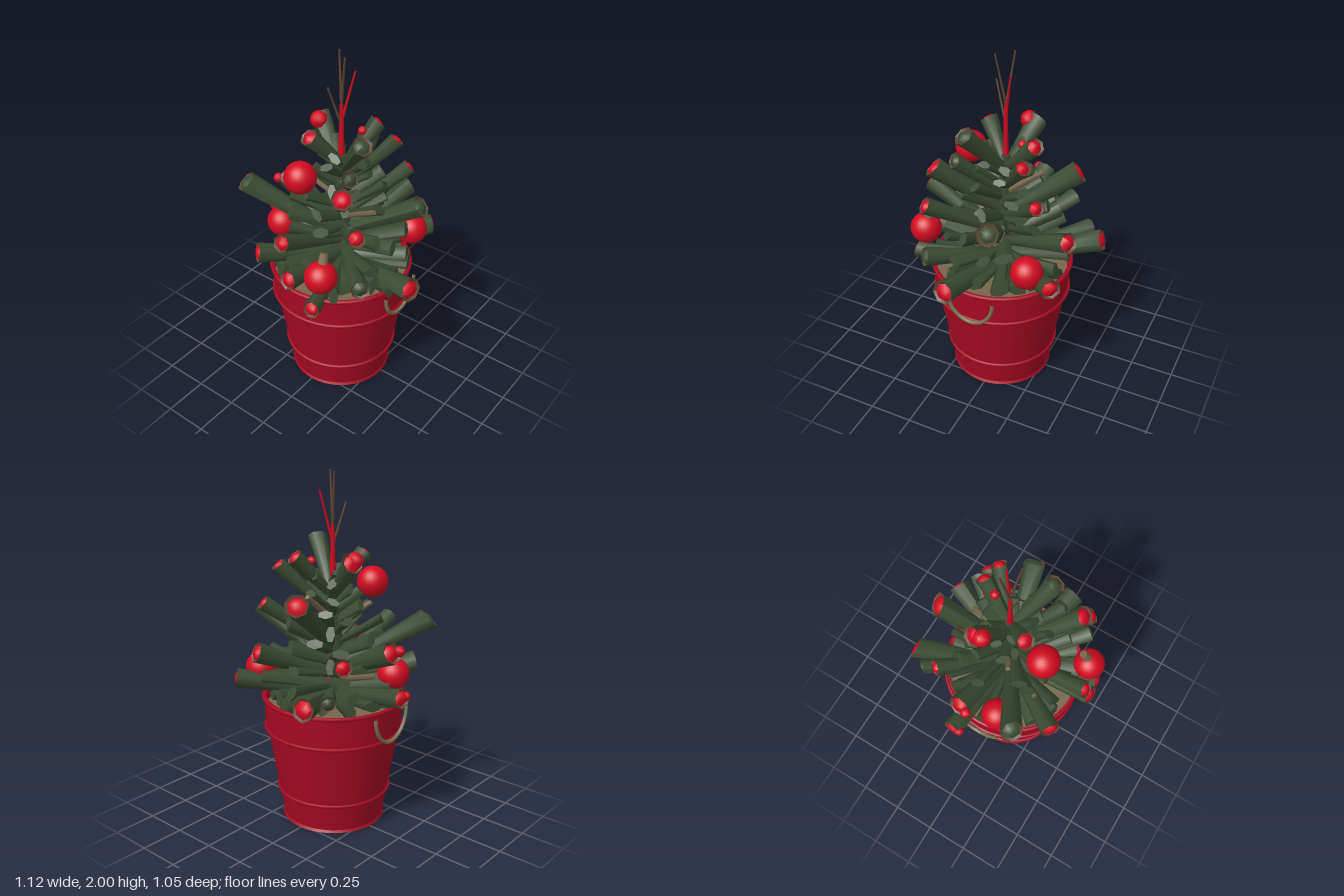
import * as THREE from 'three';

const material = (name, color, side = THREE.FrontSide) => {
  const m = new THREE.MeshStandardMaterial({ color, side });
  m.name = name;
  return m;
};

export function createModel() {
  const bucketRed = material('bucketRed', 0xa80a22, THREE.DoubleSide);
  const berryRed = material('berryRed', 0xd20a20, THREE.DoubleSide);
  const needleGreen = material('needleGreen', 0x3b4c32);
  const barkBrown = material('barkBrown', 0x5e4433, THREE.DoubleSide);
  const burlapTan = material('burlapTan', 0x76664b);
  const ropeOlive = material('ropeOlive', 0x7c7654);

  const root = new THREE.Group();
  root.name = 'pottedTree';
  const v = (x, y, z) => new THREE.Vector3(x, y, z);
  const UP = v(0, 1, 0);

  let seed = 7;
  const rand = () => (seed = (seed * 16807) % 2147483647) / 2147483647;

  const add = (name, geometry, mat, parent = root) => {
    const mesh = new THREE.Mesh(geometry, mat);
    mesh.name = name;
    parent.add(mesh);
    return mesh;
  };
  // Place a unit-up part so that it runs from one point to another
  const along = (object, from, to) => {
    object.position.copy(from).lerp(to, 0.5);
    object.quaternion.setFromUnitVectors(UP, to.clone().sub(from).normalize());
    return object;
  };
  const stick = (name, from, to, r0, r1, mat, parent, sides = 6) =>
    along(add(name, new THREE.CylinderGeometry(r1, r0, from.distanceTo(to), sides), mat, parent), from, to);
  const lathe = (points, sides) =>
    new THREE.LatheGeometry(points.map(p => new THREE.Vector2(...p)), sides);

  // Bucket: tapered wall, two raised hoops and a rolled rim
  const bucket = new THREE.Group();
  bucket.name = 'bucket';
  bucket.position.z = 0.018;
  root.add(bucket);
  const wall = [[0, 0.004], [0.285, 0.004], [0.289, 0], [0.298, 0.006], [0.29, 0.02], [0.382, 0.56],
    [0.388, 0.57], [0.398, 0.75], [0.385, 0.75], [0.375, 0.66]];
  // Separate segments keep the corners crisp
  for (let i = 0; i < wall.length - 1; i++) {
    add('bucketWall', lathe([wall[i], wall[i + 1]], 40), bucketRed, bucket);
  }
  const hoop = (name, y, radius, tube) => {
    const ring = add(name, new THREE.TorusGeometry(radius, tube, 6, 40), bucketRed, bucket);
    ring.rotation.x = Math.PI / 2;
    ring.position.y = y;
  };
  hoop('lowerHoop', 0.185, 0.323, 0.009);
  hoop('upperHoop', 0.563, 0.393, 0.009);
  hoop('rim', 0.743, 0.4, 0.011);

  const filling = add('filling', new THREE.CircleGeometry(0.385, 40), burlapTan, bucket);
  filling.rotation.x = -Math.PI / 2;
  filling.position.y = 0.69;

  // Rope handles hanging straight down at both sides
  for (const side of [-1, 1]) {
    const points = [];
    for (let i = 0; i <= 12; i++) {
      const a = Math.PI * i / 12;
      points.push(v(side * 0.414, 0.735 - 0.17 * Math.sin(a), 0.138 * Math.cos(a)));
    }
    add('ropeHandle', new THREE.TubeGeometry(new THREE.CatmullRomCurve3(points), 32, 0.011, 6), ropeOlive, bucket);
  }

  // Trunk, leading shoot and bare top twigs
  const tree = new THREE.Group();
  tree.name = 'tree';
  root.add(tree);
  stick('trunk', v(0, 0.68, 0), v(-0.01, 1.4, 0), 0.045, 0.02, barkBrown, tree, 8);
  stick('leadingShoot', v(-0.01, 1.0, 0), v(-0.01, 1.42, 0), 0.06, 0.025, needleGreen, tree, 7);
  stick('leader', v(-0.01, 1.36, 0), v(-0.008, 1.72, 0), 0.019, 0.01, berryRed, tree);
  const twigs = [
    [-0.048, 2, -0.034, 1.7, barkBrown], [0.04, 2, 0.036, 1.72, barkBrown],
    [-0.042, 1.83, 0.07, 1.6, barkBrown], [0.042, 1.9, -0.05, 1.62, berryRed],
  ];
  for (const [x, y, z, y0, mat] of twigs) {
    stick('topTwig', v(-0.008, y0, 0), v(x, y, z), 0.008, 0.005, mat, tree);
  }

  // Branch roots drop further below the tip for higher, steeper branches
  const rootOf = tip => {
    const reach = Math.hypot(tip.x, tip.z);
    const slope = 0.12 + Math.max(0, tip.y - 0.8) * 1.1;
    return v(tip.x * 0.06, tip.y - reach * slope, tip.z * 0.06);
  };

  // Large branches: seven-sided flaring rolls with a hollow slanted end around a red centre
  const bigBranch = (x, y, z, r = 0.058, redCentre = true) => {
    const tip = v(x, y, z);
    const from = rootOf(tip);
    const length = from.distanceTo(tip);
    const top = length / 2;
    const slant = (rand() - 0.5) * 0.6;
    const branch = new THREE.Group();
    branch.name = 'branch';
    tree.add(branch);
    const slope = geometry => {
      const p = geometry.attributes.position;
      for (let i = 0; i < p.count; i++) {
        if (p.getY(i) > 0) p.setY(i, p.getY(i) + slant * p.getX(i));
      }
      geometry.computeVertexNormals();
      return geometry;
    };
    add('branchRoll', slope(new THREE.CylinderGeometry(r, r * 0.5, length, 7, 1, true)), needleGreen, branch);
    add('branchLip', slope(lathe([[r, top], [r * 0.78, top - 0.012]], 7)), barkBrown, branch);
    add('branchCentre', slope(lathe([[r * 0.78, top - 0.012], [r * 0.5, top + 0.008], [0, top + 0.012]], 7)),
      redCentre ? berryRed : needleGreen, branch);
    along(branch, from, tip);
  };
  const bigTips = [
    [-0.24, 0.86, -0.5, 0.064], [-0.1, 1.36, -0.39, 0.066], [0.15, 1.07, -0.44], [0.33, 0.88, -0.42],
    [-0.33, 1.05, -0.29, 0.05], [0.24, 1.3, -0.29, 0.045], [0.08, 1.56, -0.21, 0.05], [0.21, 1.5, -0.2, 0.045],
    [0.44, 1.21, -0.11, 0.062, false], [0.54, 0.83, 0.11, 0.068], [0.22, 1.61, 0.13, 0.056, false],
    [0.33, 1.2, 0.32, 0.05], [0.23, 1.39, 0.31, 0.06], [-0.11, 1.56, 0.15, 0.052], [-0.03, 1.11, 0.49, 0.05],
    [0.02, 0.9, 0.51, 0.056], [-0.27, 0.9, 0.42, 0.06], [-0.46, 1.22, 0.28, 0.062, false],
    [-0.54, 0.87, -0.06, 0.056], [-0.46, 1.1, -0.05, 0.062], [-0.22, 1.55, -0.09, 0.06],
    [0.16, 0.755, 0.49, 0.05], [0.2, 1.44, 0.2, 0.045, false], [0.36, 0.88, 0.32, 0.055, false],
    [-0.32, 0.88, -0.4, 0.045, false],
  ];
  bigTips.forEach(t => bigBranch(...t));

  // Small berries pressed against the upper branches
  for (const [x, y, z, r] of [[-0.2, 1.55, -0.05, 0.05], [0.04, 1.53, -0.12, 0.025], [-0.47, 1.1, 0, 0.03],
    [-0.53, 0.87, -0.02, 0.028]]) {
    add('berry', new THREE.SphereGeometry(r, 8, 6), berryRed, tree).position.set(x, y, z);
  }

  // Slim flattened green sprays filling the crown in a spiral
  const spray = (a, reach, y, r) => {
    const tip = v(Math.cos(a) * reach, y, Math.sin(a) * reach);
    const mesh = stick('spray', rootOf(tip), tip, r * 0.65, r, needleGreen, tree);
    mesh.rotateY(rand() * 3);
    mesh.scale.set(1.3, 1, 0.7);
  };
  const count = 60;
  for (let i = 0; i < count; i++) {
    const t = i / (count - 1);
    spray(i * 2.4 + rand() * 0.4, THREE.MathUtils.lerp(0.43, 0.13, t) * (0.8 + rand() * 0.3),
      THREE.MathUtils.lerp(0.78, 1.48, t), THREE.MathUtils.lerp(0.038, 0.026, t) + rand() * 0.008);
  }
  // Broad skirt of sprays over the bucket opening
  for (let i = 0; i < 17; i++) {
    spray(i * Math.PI * 2 / 17 + rand() * 0.15, 0.33 + rand() * 0.07, 0.76 + rand() * 0.06, 0.045);
  }

  // Bare twig stubs between the sprays
  for (const [x, y, z] of [[-0.2, 1.3, 0.1], [-0.16, 0.95, 0.25], [-0.41, 0.98, -0.12], [0.25, 1.18, 0.05],
    [0.32, 0.8, 0.2], [-0.02, 1.36, -0.22]]) {
    const tip = v(x, y, z);
    stick('bareTwig', rootOf(tip), tip, 0.022, 0.014, burlapTan, tree);
  }

  // Round baubles, the front one with a tan cap
  const baubles = [[-0.09, 1.37, 0.25], [0.17, 0.935, 0.415], [0.29, 0.915, -0.265], [-0.345, 0.915, 0.12]];
  for (const [x, y, z] of baubles) {
    add('bauble', new THREE.SphereGeometry(0.089, 24, 16), berryRed).position.set(x, y, z);
  }
  stick('baubleCap', v(0.17, 1.0, 0.4), v(0.16, 1.06, 0.37), 0.03, 0.022, burlapTan, root, 8);
  return root;
}
